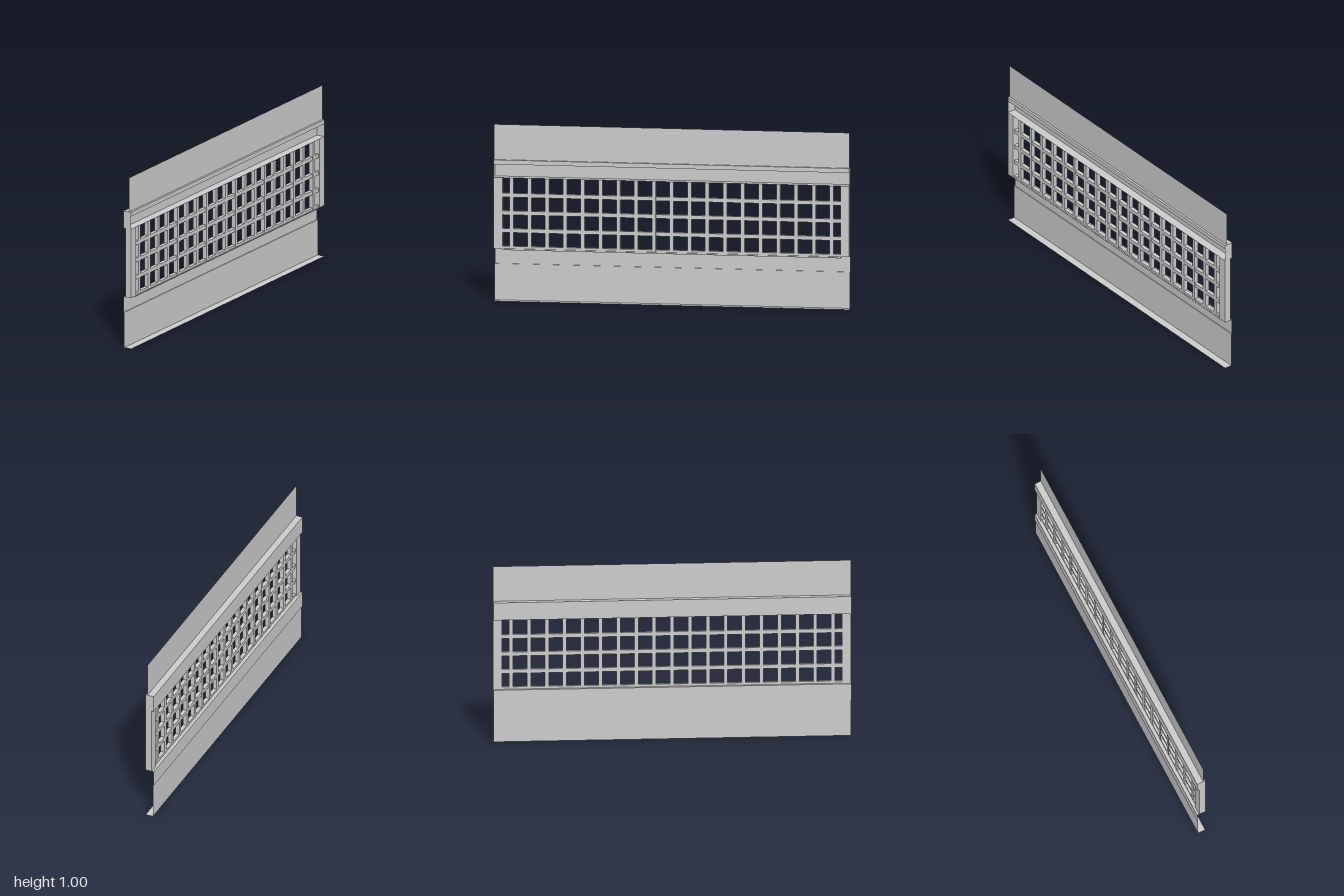
import * as THREE from 'three';

const grey = new THREE.MeshStandardMaterial({ color: 0xcccccc, flatShading: true });
const sheet = new THREE.MeshStandardMaterial({ color: 0xcccccc, flatShading: true, side: THREE.DoubleSide });

export function createModel() {
  const model = new THREE.Group();

  const add = (name, geometry, material, x = 0, y = 0, z = 0) => {
    const mesh = new THREE.Mesh(geometry, material);
    mesh.name = name;
    mesh.position.set(x, y, z);
    model.add(mesh);
    return mesh;
  };

  // Box given by its limits along each axis
  const box = (name, x0, x1, y0, y1, z0, z1) =>
    add(name, new THREE.BoxGeometry(x1 - x0, y1 - y0, z1 - z0), grey,
      (x0 + x1) / 2, (y0 + y1) / 2, (z0 + z1) / 2);

  // Thin folded sheet: an open [x, y] profile running the full length in z
  const foldedSheet = (name, profile) => {
    const points = [];
    for (let i = 0; i + 1 < profile.length; i++) {
      const [ax, ay] = profile[i];
      const [bx, by] = profile[i + 1];
      points.push(ax, ay, -1, bx, by, -1, bx, by, 1, ax, ay, -1, bx, by, 1, ax, ay, 1);
    }
    const geometry = new THREE.BufferGeometry();
    geometry.setAttribute('position', new THREE.Float32BufferAttribute(points, 3));
    geometry.computeVertexNormals();
    return add(name, geometry, sheet);
  };

  // Upper panel, top channel open towards +x, lower panel with foot flange
  foldedSheet('upperPanel', [[0.0125, 0.8], [0.0125, 1]]);
  foldedSheet('topRail', [[0.025, 0.7], [-0.025, 0.7], [-0.025, 0.8], [0.025, 0.8], [0.025, 0.775]]);
  foldedSheet('lowerPanel', [[0.025, 0.298], [-0.025, 0.298], [-0.025, 0.206], [-0.02, 0.206], [-0.02, 0], [0.025, 0]]);

  // Ends of the top rail and the two stiles
  for (const s of [-1, 1]) {
    add('topRailEnd', new THREE.PlaneGeometry(0.05, 0.1), sheet, 0, 0.75, s);
    box('stile', -0.0125, 0.025, 0.298, 0.7, s * 0.975 - 0.025, s * 0.975 + 0.025);
  }

  // Lattice of upright and level bars
  const half = 0.011;
  for (let i = -9; i <= 9; i++) {
    box('latticeUpright', -0.006, 0.018, 0.298, 0.7, i / 10 - half, i / 10 + half);
  }
  for (let i = 3; i <= 6; i++) {
    box('latticeBar', -0.005, 0.017, i / 10 - half, i / 10 + half, -0.95, 0.95);
  }

  return model;
}
